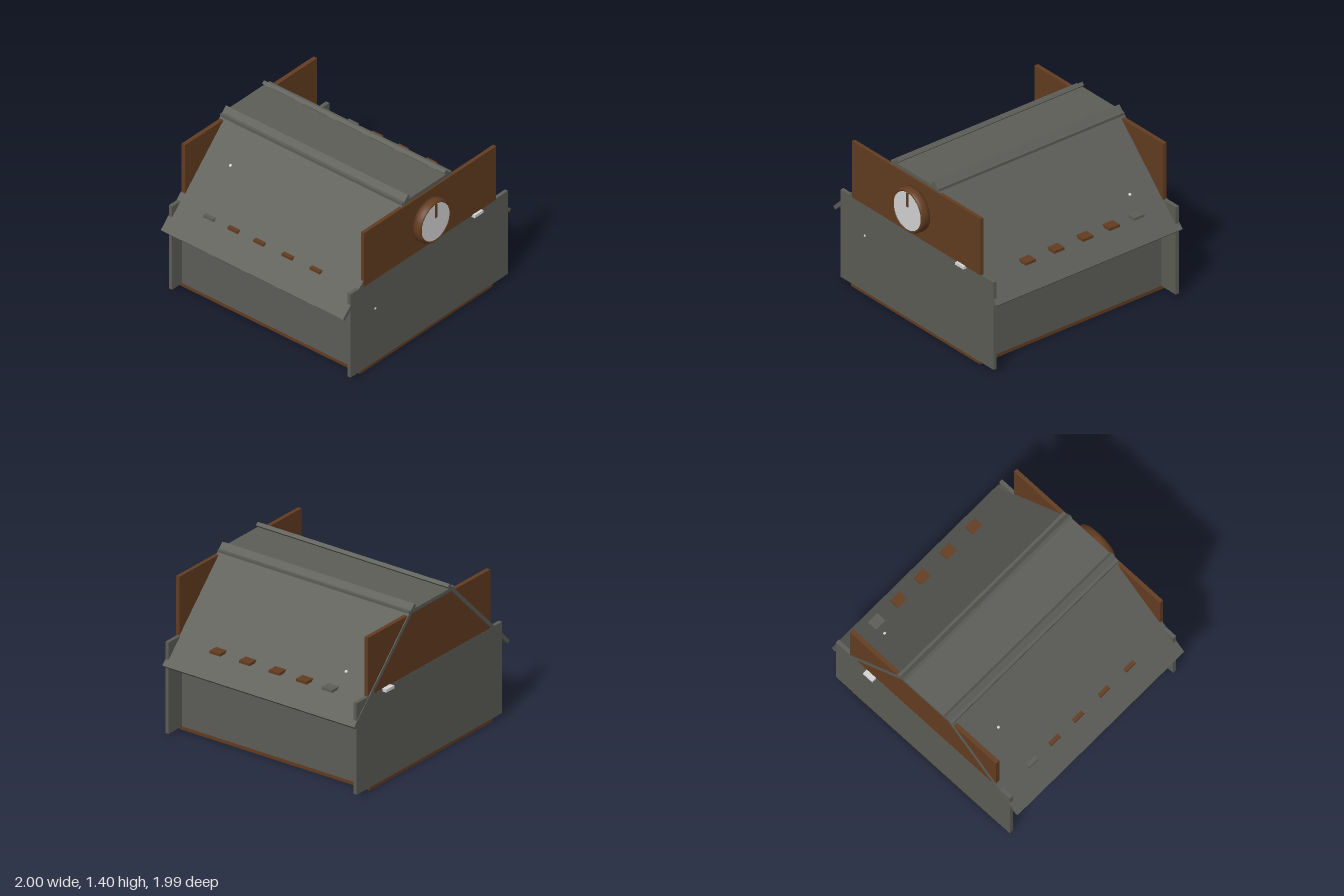
import * as THREE from 'three';

function mat(name, color) {
  const m = new THREE.MeshStandardMaterial({ color });
  m.name = name;
  return m;
}

export function createModel() {
  const gray = mat('slate gray', 0x5c5d57);
  const brown = mat('walnut brown', 0x623c20);
  const white = mat('pale white', 0xd4d4d4);
  const model = new THREE.Group();
  model.name = 'houseBox';

  function add(name, geometry, material, parent = model) {
    const mesh = new THREE.Mesh(geometry, material);
    mesh.name = name;
    parent.add(mesh);
    return mesh;
  }
  // Box given by its minimum and maximum on each axis
  function box(name, material, x0, x1, y0, y1, z0, z1) {
    const mesh = add(name, new THREE.BoxGeometry(x1 - x0, y1 - y0, z1 - z0), material);
    mesh.position.set((x0 + x1) / 2, (y0 + y1) / 2, (z0 + z1) / 2);
    return mesh;
  }

  // Body: base, end panels and inset side walls
  box('base', brown, -0.79, 0.785, 0, 0.03, -0.955, 0.9);
  box('frontPanel', gray, -0.91, 0.96, 0.03, 0.815, 0.875, 0.905);
  box('backPanel', gray, -0.91, 0.96, 0.03, 0.815, -0.96, -0.927);
  box('rightWall', gray, -0.79, -0.76, 0.03, 0.81, -0.93, 0.88);
  box('leftWall', gray, 0.755, 0.785, 0.03, 0.81, -0.93, 0.88);

  // Upper end boards
  box('frontBoard', brown, -0.76, 0.81, 0.815, 1.32, 0.883, 0.915);
  box('backBoard', brown, -0.76, 0.81, 0.815, 1.32, -0.958, -0.922);

  // Roof: flat ridge board and two sloping boards that rise past it
  box('ridgeBoard', gray, -0.295, 0.292, 1.325, 1.355, -0.964, 0.904);
  for (const side of [-1, 1]) {
    const corners = [[0.226, 1.398], [1, 0.624], [0.978, 0.602], [0.204, 1.376]];
    const shape = new THREE.Shape(corners.map(([x, y]) => new THREE.Vector2(side * x, y)));
    const geo = new THREE.ExtrudeGeometry(shape, { depth: 1.87, bevelEnabled: false });
    geo.translate(0, 0, -0.965);
    add(side > 0 ? 'leftRoofSlope' : 'rightRoofSlope', geo, gray);
  }

  // Row of small blocks through each slope, the rearmost one gray
  [0.475, 0.187, -0.103, -0.368, -0.617].forEach((z, i) => {
    const m = i === 4 ? gray : brown;
    box('leftBlock', m, 0.8, 0.893, 0.797, 0.819, z - 0.052, z + 0.052);
    box('rightBlock', m, -0.84, -0.75, 0.797, 0.819, z - 0.052, z + 0.052);
  });

  // Latches where boards meet panels
  box('frontLatch', white, 0.53, 0.63, 0.795, 0.82, 0.89, 0.938);
  box('backLatch', white, 0.53, 0.63, 0.795, 0.82, -1, -0.94);

  // Dial: rounded rim, face and hand
  const dial = new THREE.Group();
  dial.name = 'dial';
  dial.position.set(0.005, 1.06, 0);
  model.add(dial);
  const rimProfile = [[0, 0.9], [0.19, 0.9], [0.191, 0.945], [0.189, 0.968], [0.183, 0.985],
    [0.175, 0.993], [0.169, 0.992], [0.164, 0.984], [0, 0.984]];
  const rim = new THREE.LatheGeometry(rimProfile.map(([r, z]) => new THREE.Vector2(r, z)), 48);
  rim.rotateX(Math.PI / 2);
  add('dialRim', rim, brown, dial);
  const face = add('dialFace', new THREE.CylinderGeometry(0.164, 0.164, 0.006, 48), white, dial);
  face.rotation.x = Math.PI / 2;
  face.position.z = 0.986;
  const hand = add('dialHand', new THREE.BoxGeometry(0.022, 0.125, 0.004), brown, dial);
  hand.position.set(0.003, 0.102, 0.991);

  // Tiny studs on the front panel and the slopes
  function stud(name, x, y, z) {
    add(name, new THREE.SphereGeometry(0.014, 10, 8), white).position.set(x, y, z);
  }
  stud('frontStud', -0.615, 0.53, 0.898);
  stud('rightRoofStud', -0.51, 1.11, -0.672);
  stud('leftRoofStud', 0.711, 0.912, -0.67);

  return model;
}
